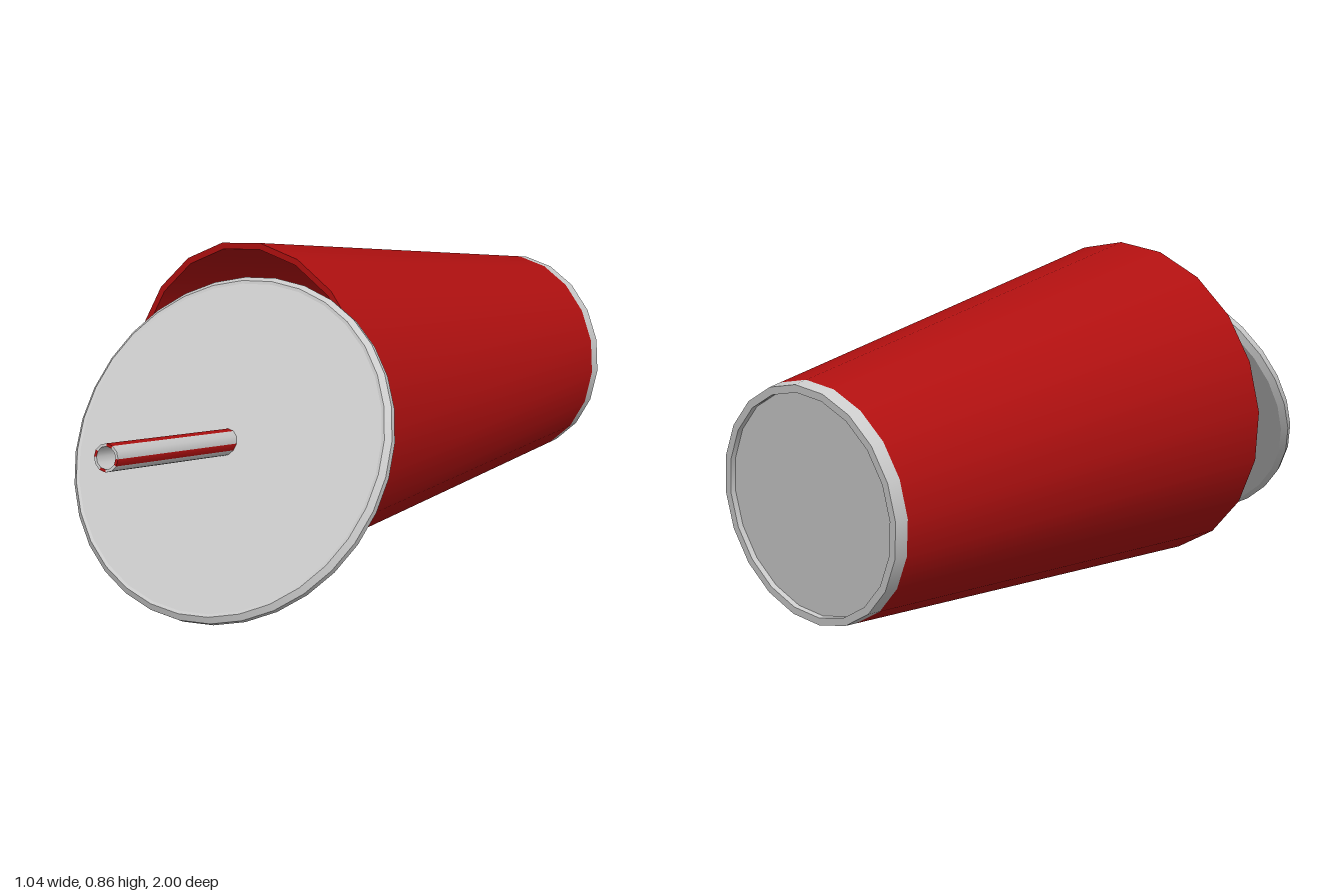
import * as THREE from 'three';
import { mergeGeometries } from 'three/addons/utils/BufferGeometryUtils.js';

const RED = 0xb01010, GREY = 0xcccccc;
const UP = new THREE.Vector3(0, 1, 0);

// Turned part whose profile corners stay sharp while the sides stay smooth
function turned(name, color, profile, segments, start = 0, sweep = Math.PI * 2) {
  const bands = [];
  for (let i = 0; i < profile.length - 1; i++) {
    const pair = [profile[i], profile[i + 1]].map(([r, y]) => new THREE.Vector2(r, y));
    bands.push(new THREE.LatheGeometry(pair, segments, start, sweep));
  }
  const material = new THREE.MeshStandardMaterial({ color, side: THREE.DoubleSide });
  const mesh = new THREE.Mesh(mergeGeometries(bands), material);
  mesh.name = name;
  return mesh;
}

// Paper cup lying on its side, opening towards the front
function createCup() {
  const cup = new THREE.Group();
  cup.name = 'cup';
  cup.add(
    turned('cupWall', RED, [[0.299, 0.035], [0.432, 1.21], [0.415, 1.21], [0.284, 0.04]], 20),
    turned('cupBase', GREY, [[0, 0.015], [0.276, 0.015], [0.276, 0], [0.295, 0], [0.299, 0.035]], 20),
    turned('cupFloor', GREY, [[0.286, 0.04], [0, 0.04]], 20)
  );
  cup.position.set(-0.095, 0.3, -0.965);
  cup.rotation.x = 1.459;
  return cup;
}

// Flat lid with a bevelled rim
function createLid() {
  const lid = turned('lid', GREY, [
    [0, -0.02], [0.435, -0.02], [0.452, -0.01], [0.452, 0.008], [0.438, 0.022], [0.43, 0.02], [0, 0.02],
  ], 32);
  lid.position.set(0.064, 0.415, 0.48);
  lid.quaternion.setFromUnitVectors(UP, new THREE.Vector3(0.16, 0.53, 0.83).normalize());
  return lid;
}

// Hollow straw with four lengthwise stripes
function createStraw() {
  const straw = new THREE.Group();
  straw.name = 'straw';
  const bottom = new THREE.Vector3(-0.204, 0.105, -0.9);
  const axis = new THREE.Vector3(0.155, 0.548, 0.988).sub(bottom);
  const length = axis.length(), outer = 0.034, inner = 0.027;
  const shell = [[inner, 0], [outer, 0], [outer, length], [inner, length]];
  const step = Math.PI / 6;
  for (let i = 0; i < 4; i++) {
    const start = (i * 3 - 0.5) * step;
    straw.add(
      turned('strawStripe', RED, shell, 1, start, step),
      turned('strawWall', GREY, shell, 2, start + step, step * 2)
    );
  }
  straw.add(turned('strawInside', GREY, [[inner, length], [inner, 0]], 12, -step / 2));
  straw.position.copy(bottom);
  straw.quaternion.setFromUnitVectors(UP, axis.normalize());
  return straw;
}

export function createModel() {
  const model = new THREE.Group();
  model.name = 'spilledCup';
  model.add(createCup(), createLid(), createStraw());
  return model;
}
